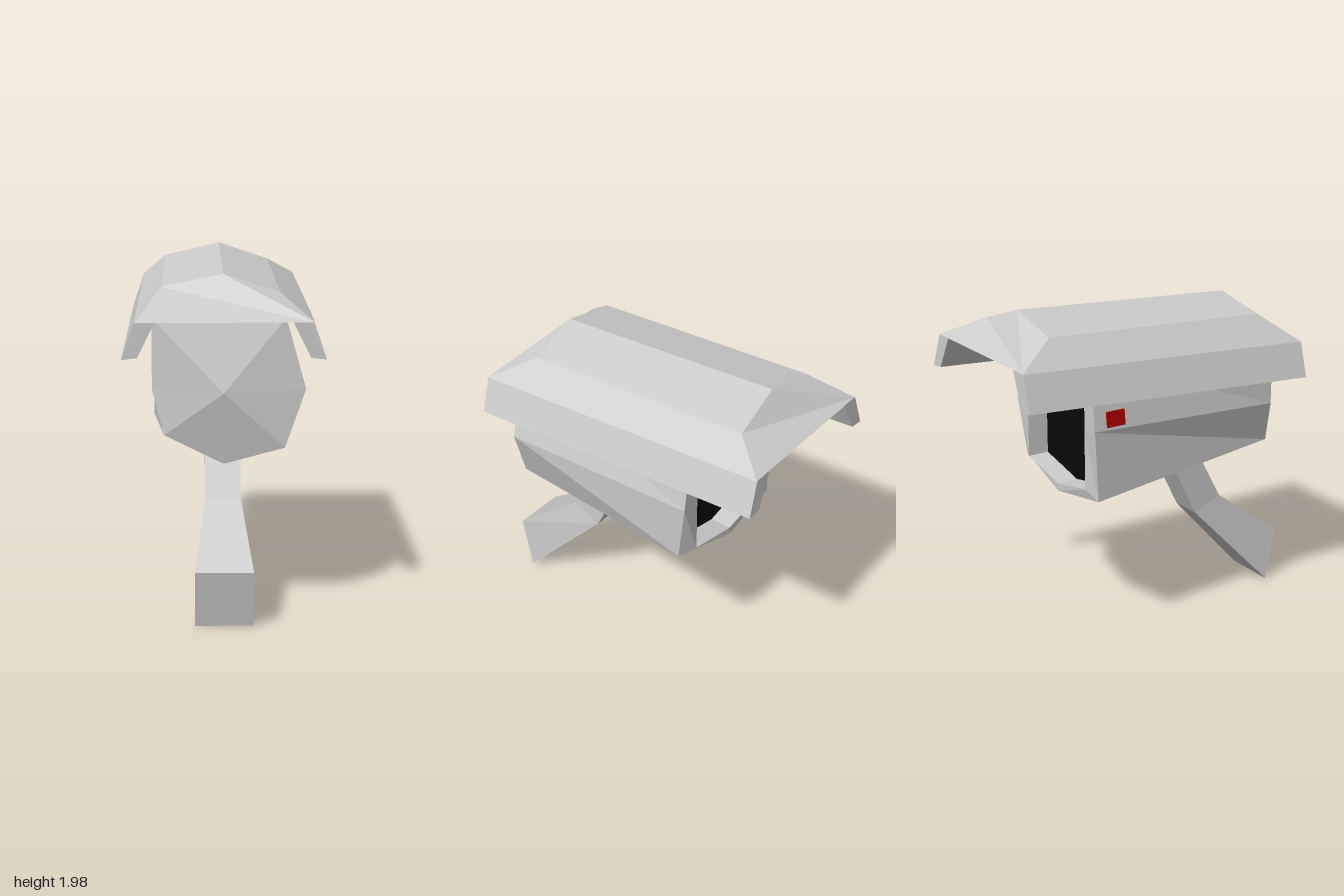
import * as THREE from 'three';

const paint = (color) => new THREE.MeshStandardMaterial({ color, flatShading: true });
const grey = paint(0xcccccc);

// Collects triangles of [x, y, z] corners into a flat-shaded mesh.
function meshOf(name, triangles, material = grey) {
  const geometry = new THREE.BufferGeometry();
  geometry.setAttribute('position', new THREE.Float32BufferAttribute(triangles.flat(2), 3));
  geometry.computeVertexNormals();
  const mesh = new THREE.Mesh(geometry, material);
  mesh.name = name;
  return mesh;
}

// Skins a list of closed rings, each counter-clockwise seen from the last one.
function skin(rings) {
  const tris = [];
  for (let r = 0; r < rings.length - 1; r++) {
    const a = rings[r], b = rings[r + 1];
    a.forEach((p, i) => {
      const j = (i + 1) % a.length;
      tris.push([p, a[j], b[j]], [p, b[j], b[i]]);
    });
  }
  return tris;
}

// Fan over a ring from its first corner.
const fan = (ring) => ring.slice(2).map((p, i) => [ring[0], ring[i + 1], p]);
const reversed = (ring) => [...ring].reverse();
const solid = (rings) => [...skin(rings), ...fan(reversed(rings[0])), ...fan(rings.at(-1))];
const mirrored = (ring) => reversed(ring.map(([x, y, z]) => [-x, y, z]));

export function createModel() {
  const model = new THREE.Group();
  model.name = 'securityCamera';

  // Body: window recess, window frame, faceted sides and bulging rear cap
  const opening = (z) => [
    [0.33, 1.32, z], [0.33, 1.67, z], [0, 1.67, z], [-0.3, 1.67, z],
    [-0.3, 1.32, z], [-0.3, 0.97, z], [0, 0.91, z], [0.33, 0.98, z],
  ];
  const windowEnd = [
    [0.45, 1.32, -0.51], [0.38, 1.74, -0.51], [0, 1.75, -0.51], [-0.36, 1.74, -0.51],
    [-0.41, 1.34, -0.51], [-0.41, 0.925, -0.49], [0, 0.865, -0.51], [0.435, 0.96, -0.46],
  ];
  const capEnd = [
    [0.45, 1.28, 0.74], [0.34, 1.67, 0.74], [0, 1.67, 0.74], [-0.39, 1.67, 0.74],
    [-0.39, 1.28, 0.74], [-0.325, 1.03, 0.76], [0, 0.865, 0.74], [0.335, 0.96, 0.77],
  ];
  const bulge = [0, 1.27, 0.83];
  const recess = opening(-0.38);
  const cap = capEnd.map((p, i) => [p, capEnd[(i + 1) % capEnd.length], bulge]);
  model.add(meshOf('body', [...skin([recess, opening(-0.51), windowEnd, capEnd]), ...cap]));
  model.add(meshOf('window', fan(reversed(recess)), paint(0x0a0a0a)));

  // Small red indicator on the side
  const light = new THREE.Mesh(new THREE.BoxGeometry(0.02, 0.09, 0.12), paint(0xaa0000));
  light.name = 'indicatorLight';
  light.position.set(-0.397, 1.395, -0.37);
  light.rotation.z = -0.12;
  model.add(light);

  // Sun hood: solid roof with sloped ends and a flat underside
  const hoodBack = [
    [0.485, 1.77, -0.99], [0.31, 1.875, -0.77], [0, 1.98, -0.75],
    [-0.34, 1.9, -0.75], [-0.475, 1.77, -0.99],
  ];
  const hoodFront = [
    [0.485, 1.66, 0.88], [0.31, 1.8, 0.64], [0, 1.9, 0.655],
    [-0.34, 1.83, 0.655], [-0.475, 1.66, 0.88],
  ];
  model.add(meshOf('hood', solid([hoodBack, hoodFront])));

  // Side flaps hanging from the hood
  const flap = (y, zTop, zTip) => [
    [0.48, y, zTop], [0.37, y, zTop], [0.465, y - 0.19, zTip], [0.55, y - 0.2, zTip],
  ];
  const flapRings = [flap(1.77, -0.99, -1), flap(1.66, 0.88, 0.87)];
  model.add(meshOf('leftFlap', solid(flapRings)));
  model.add(meshOf('rightFlap', solid(flapRings.map(mirrored))));

  // Bent mounting arm: half width, then outer and inner edge as [y, z]
  const arm = [
    [0.1, [1.0, 0.39], [1.0, 0.185]],
    [0.1, [0.63, 0.59], [0.55, 0.41]],
    [0.16, [0.32, 1.0], [0, 0.93]],
  ].map(([w, outer, inner]) => [[w, ...outer], [-w, ...outer], [-w, ...inner], [w, ...inner]]);
  model.add(meshOf('mountingArm', solid(arm)));

  return model;
}
